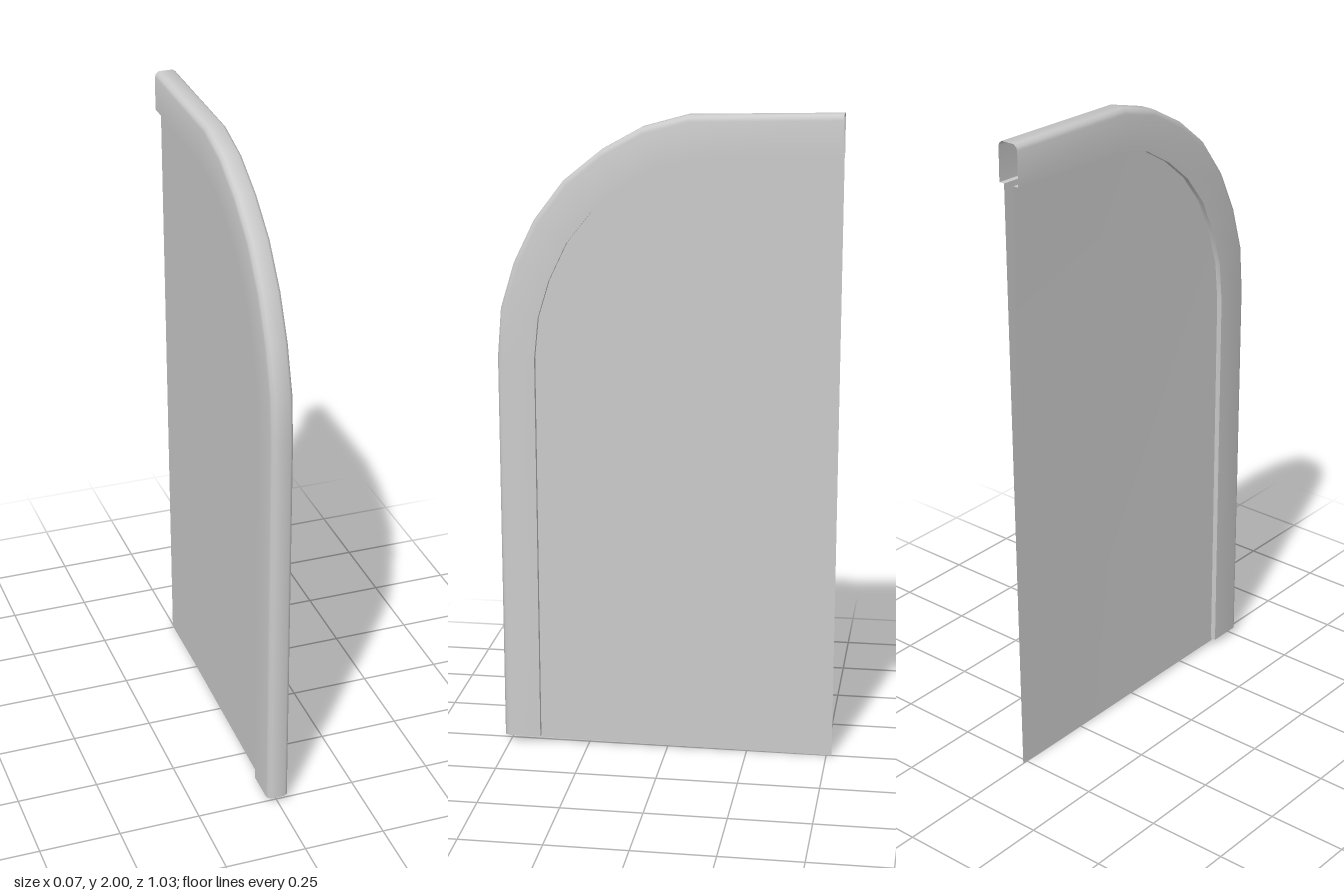
import * as THREE from 'three';
import { toCreasedNormals } from 'three/addons/utils/BufferGeometryUtils.js';

// Outer and inner edges of the rail as [z, y], from the foot up and over to the back
const OUTER = [[0.517, 0.02], [0.517, 1.25], [0.505, 1.4], [0.463, 1.54], [0.4, 1.67],
  [0.31, 1.79], [0.2, 1.88], [0.075, 1.95], [-0.06, 1.988], [-0.517, 2]];
const INNER = [[0.403, 0.02], [0.403, 1.25], [0.39, 1.375], [0.355, 1.49], [0.3, 1.605],
  [0.225, 1.7], [0.135, 1.775], [0.035, 1.835], [-0.095, 1.868], [-0.517, 1.88]];
const HALF_PANEL = 0.017;
const HALF_RAIL = 0.034;

// Rail cross-section as [x, fraction from inner to outer edge]
const RIGHT_SIDE = [[-HALF_PANEL, 0], [-HALF_RAIL, 0], [-HALF_RAIL, 0.86], [-0.031, 0.94], [-0.022, 1]];
const PROFILE = [...RIGHT_SIDE, ...RIGHT_SIDE.map(([x, t]) => [-x, t]).reverse()];

function makeMesh(name, points, index, crease) {
  const geometry = new THREE.BufferGeometry();
  geometry.setAttribute('position', new THREE.Float32BufferAttribute(points.flat(), 3));
  geometry.setIndex(index);
  const material = new THREE.MeshStandardMaterial({ color: 0xcccccc, side: THREE.DoubleSide });
  const mesh = new THREE.Mesh(toCreasedNormals(geometry, crease), material);
  mesh.name = name;
  return mesh;
}

// Rounded rail lofted along the arch, open at the back and closed at the foot
function createRail() {
  const points = [];
  const index = [];
  const n = PROFILE.length;
  OUTER.forEach(([zo, yo], i) => {
    const [zi, yi] = INNER[i];
    for (const [x, t] of PROFILE) points.push([x, yi + (yo - yi) * t, zi + (zo - zi) * t]);
  });
  for (let i = 0; i < OUTER.length - 1; i++) {
    for (let j = 0; j < n - 1; j++) {
      const a = i * n + j;
      index.push(a, a + 1, a + n, a + 1, a + n + 1, a + n);
    }
  }
  // Foot cap, built in strips across the width
  for (let j = 0; j < n / 2 - 1; j++) {
    const k = n - 1 - j;
    index.push(j, k, j + 1, j + 1, k, k - 1);
  }
  return makeMesh('archRail', points, index, 0.75);
}

// Thin hollow panel whose two skins meet at the lower back corner
function createPanel() {
  const points = [[0, 0, -0.517]];
  const index = [];
  const outline = INNER.map(([z, y], i) => [z, i === 0 ? 0.012 : y]);
  for (const [z, y] of outline) points.push([HALF_PANEL, y, z], [-HALF_PANEL, y, z]);
  for (let i = 0; i < outline.length - 1; i++) {
    const a = 1 + i * 2;
    index.push(0, a + 2, a, 0, a + 1, a + 3);
  }
  index.push(0, 1, 2); // underside
  return makeMesh('panel', points, index, 0.6);
}

export function createModel() {
  const group = new THREE.Group();
  group.name = 'archedPartition';
  group.add(createRail(), createPanel());
  return group;
}
